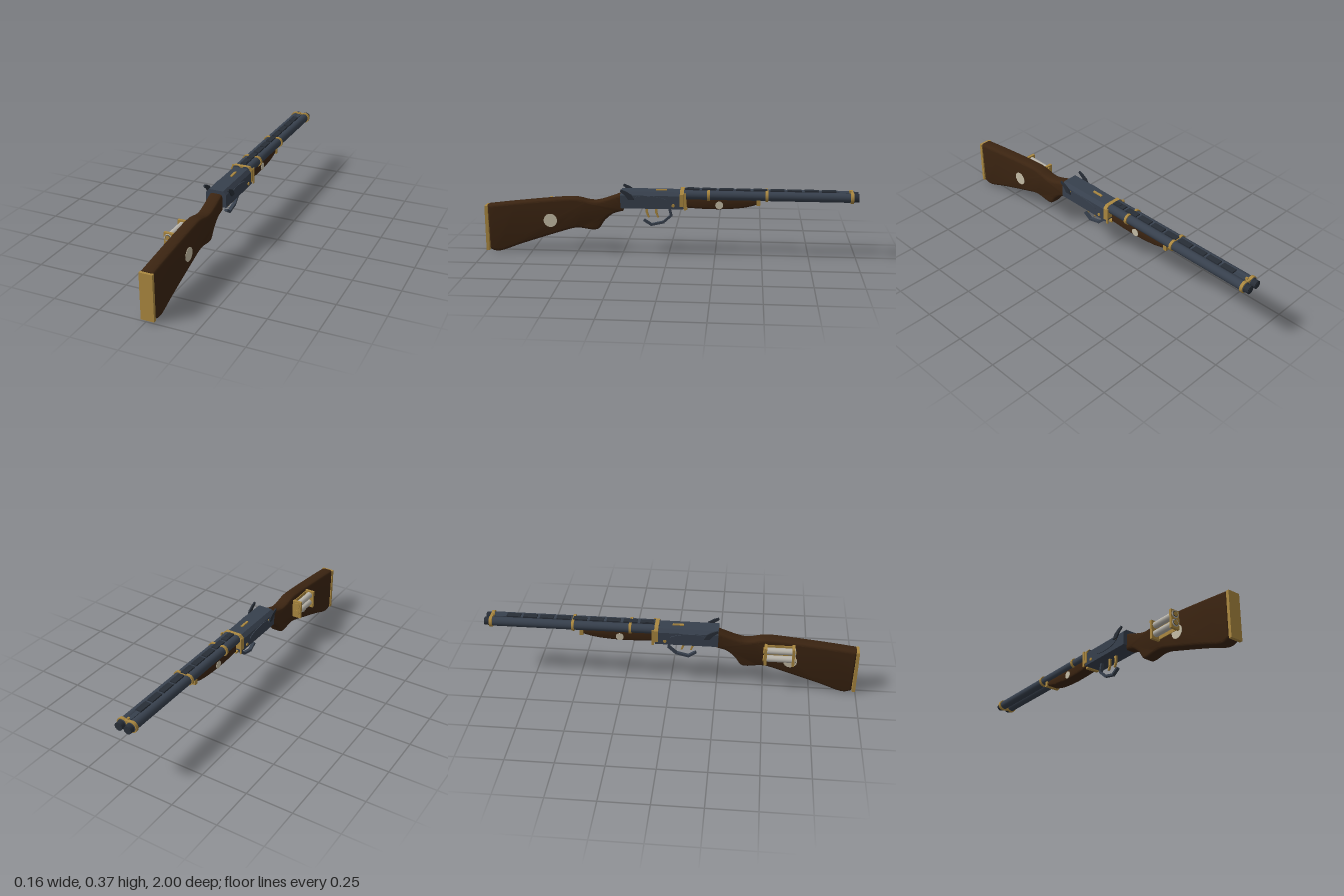
import * as THREE from 'three';
import { toCreasedNormals } from 'three/addons/utils/BufferGeometryUtils.js';

const mat = (name, color) => {
  const m = new THREE.MeshStandardMaterial({ color });
  m.name = name;
  return m;
};

export function createModel() {
  const wood = mat('dark walnut', 0x3b2411);
  const steel = mat('blued steel', 0x37404d);
  const darkSteel = mat('dark steel', 0x282e37);
  const brass = mat('aged brass', 0xab8840);
  const pale = mat('pale inlay', 0xc6bda6);
  const silver = mat('silver', 0xb9b5ac);

  const model = new THREE.Group();
  model.name = 'doubleBarrelGun';
  const gun = new THREE.Group(); // everything is built around the bore plane x = 0
  gun.name = 'gun';
  gun.position.x = 0.008;
  model.add(gun);

  const add = (name, geo, material, x = 0, y = 0, z = 0) => {
    const m = new THREE.Mesh(geo, material);
    m.name = name;
    m.position.set(x, y, z);
    gun.add(m);
    return m;
  };
  const box = (name, material, w, h, d, x, y, z) =>
    add(name, new THREE.BoxGeometry(w, h, d), material, x, y, z);
  const rodZ = (name, material, r, z0, z1, x, y, sides = 16) =>
    add(name, new THREE.CylinderGeometry(r, r, z1 - z0, sides).rotateX(Math.PI / 2), material, x, y, (z0 + z1) / 2);
  const discX = (name, material, r, t, x, y, z, sides = 16) =>
    add(name, new THREE.CylinderGeometry(r, r, t, sides).rotateZ(Math.PI / 2), material, x, y, z);

  // Side profile given as [z, y] points, given thickness along x
  const side = (shape, width, bevel = 0) => {
    const g = new THREE.ExtrudeGeometry(shape, {
      depth: width - 2 * bevel, bevelEnabled: bevel > 0, bevelSize: bevel,
      bevelThickness: bevel, bevelOffset: -bevel, bevelSegments: 3, curveSegments: 10,
    });
    g.translate(0, 0, -width / 2 + bevel).rotateY(-Math.PI / 2);
    return toCreasedNormals(g, 0.6);
  };
  const poly = (pts) => new THREE.Shape(pts.map(([a, b]) => new THREE.Vector2(a, b)));
  const vecs = (pts) => pts.map(([a, b]) => new THREE.Vector2(a, b));

  // Stock with pistol-style wrist
  const stock = new THREE.Shape();
  stock.moveTo(0.245, 0.245);
  stock.splineThru(vecs([[0.3, 0.228], [0.345, 0.19], [0.375, 0.147], [0.41, 0.137], [0.5, 0.145],
    [0.6, 0.117], [0.8, 0.05], [0.9, 0.012], [0.945, 0.004], [0.98, 0.016]]));
  stock.lineTo(0.985, 0.262);
  stock.splineThru(vecs([[0.85, 0.279], [0.65, 0.301], [0.51, 0.311], [0.42, 0.295], [0.36, 0.301], [0.245, 0.342]]));
  add('stock', side(stock, 0.07, 0.014), wood);
  box('buttPlate', brass, 0.07, 0.248, 0.017, 0, 0.134, 0.9915);

  // Receiver with chamfered top, swept along z
  const section = (w, y0, y1, c) => poly([[-w, y0], [w, y0], [w, y1 - c], [w - c, y1], [-w + c, y1], [-w, y1 - c]]);
  const prismZ = (shape, z0, z1) =>
    new THREE.ExtrudeGeometry(shape, { depth: z1 - z0, bevelEnabled: false }).translate(0, 0, z0);
  add('receiver', prismZ(section(0.057, 0.268, 0.357, 0.018), -0.08, 0.255), steel);
  add('breechFrame', prismZ(section(0.061, 0.282, 0.366, 0.018), -0.083, -0.062), brass);
  box('topLever', brass, 0.012, 0.008, 0.06, 0, 0.359, 0.04);
  box('hingePlate', brass, 0.075, 0.01, 0.02, 0, 0.267, -0.09);

  // Paired details on the receiver, fore-end and stock
  const hammer = poly([[0.18, 0.318], [0.212, 0.318], [0.228, 0.342], [0.255, 0.362], [0.25, 0.373], [0.222, 0.362], [0.195, 0.345]]);
  const lock = new THREE.Shape();
  lock.moveTo(0.2, 0.318);
  lock.splineThru(vecs([[0.15, 0.295], [0.06, 0.292], [0.0, 0.312], [0.06, 0.333], [0.15, 0.337], [0.2, 0.318]]));
  for (const s of [-1, 1]) {
    add('lockPlate', side(lock, 0.006), steel, s * 0.058);
    add('hammer', side(hammer, 0.008), darkSteel, s * 0.067);
    discX('hammerPin', brass, 0.007, 0.014, s * 0.059, 0.325, 0.195, 8);
    discX('receiverScrew', brass, 0.009, 0.006, s * 0.058, 0.288, -0.027, 10);
    box('hingeStrap', brass, 0.006, 0.09, 0.012, s * 0.06, 0.31, -0.09);
    discX('foreEndInlay', pale, 0.021, 0.004, s * 0.037, 0.29, -0.27);
    discX('stockInlay', pale, 0.037, 0.004, s * 0.035, 0.186, 0.64);
  }

  // Barrels with muzzle collars and bores
  const by = 0.341;
  for (const s of [-1, 1]) {
    const x = s * 0.026;
    rodZ('barrel', steel, 0.025, -0.975, -0.06, x, by, 20);
    rodZ('muzzle', darkSteel, 0.022, -1, -0.97, x, by, 12);
    rodZ('bore', darkSteel, 0.014, -1.001, -0.99, x, by, 12);
  }

  // Brass bands clasping both barrels
  for (const [z, d] of [[-0.964, 0.016], [-0.52, 0.014], [-0.213, 0.014]]) {
    for (const s of [-1, 1]) rodZ('barrelBand', brass, 0.03, z - d / 2, z + d / 2, s * 0.028, by, 12);
    box('bandBridge', brass, 0.05, 0.052, d, 0, by, z);
  }

  // Sighting rib with raised segments
  box('rib', steel, 0.022, 0.022, 0.88, 0, 0.354, -0.51);
  for (let i = 0; i < 9; i++) box('ribSegment', darkSteel, 0.032, 0.008, 0.074, 0, 0.368, -0.125 - i * 0.09);
  box('rearSight', darkSteel, 0.026, 0.012, 0.035, 0, 0.369, -0.115);
  box('frontSight', brass, 0.01, 0.014, 0.012, 0, 0.368, -0.955);

  // Wooden fore-end and its brass tip
  const fore = new THREE.Shape();
  fore.moveTo(-0.095, 0.325);
  fore.lineTo(-0.47, 0.325);
  fore.lineTo(-0.47, 0.295);
  fore.splineThru(vecs([[-0.4, 0.277], [-0.3, 0.267], [-0.2, 0.266], [-0.095, 0.271]]));
  add('foreEnd', side(fore, 0.074, 0.01), wood);
  box('foreEndTip', brass, 0.084, 0.032, 0.02, 0, 0.307, -0.476);

  // Triggers and open guard
  for (const z of [0.118, 0.067]) {
    add('trigger', side(poly([[z - 0.008, 0.272], [z - 0.004, 0.235], [z - 0.014, 0.206], [z - 0.004, 0.208],
      [z + 0.007, 0.235], [z + 0.008, 0.272]]), 0.012), brass);
  }
  const guard = [[0, 0.272], [-0.012, 0.219], [0.03, 0.181], [0.095, 0.166], [0.132, 0.19]];
  const t = 0.012;
  for (let i = 0; i < guard.length - 1; i++) {
    const [z0, y0] = guard[i], [z1, y1] = guard[i + 1];
    const bar = box('triggerGuard', steel, 0.018, t, Math.hypot(z1 - z0, y1 - y0) + 0.008, 0, (y0 + y1) / 2, (z0 + z1) / 2);
    bar.rotation.x = -Math.atan2(y1 - y0, z1 - z0);
  }

  // Cartridge holder on the right of the stock
  for (const z of [0.507, 0.653]) box('holderPlate', brass, 0.053, 0.103, 0.014, -0.061, 0.2385, z);
  box('holderBase', brass, 0.006, 0.09, 0.14, -0.037, 0.2385, 0.58);
  for (const y of [0.265, 0.217]) {
    rodZ('cartridge', silver, 0.018, 0.51, 0.655, -0.063, y, 12);
    rodZ('cartridgeNose', brass, 0.018, 0.494, 0.512, -0.063, y, 8);
    rodZ('cartridgeRim', silver, 0.021, 0.65, 0.664, -0.063, y, 8);
    rodZ('cartridgeGroove', darkSteel, 0.016, 0.655, 0.665, -0.063, y, 8);
    rodZ('cartridgeHead', brass, 0.0135, 0.655, 0.667, -0.063, y, 8);
  }
  return model;
}
